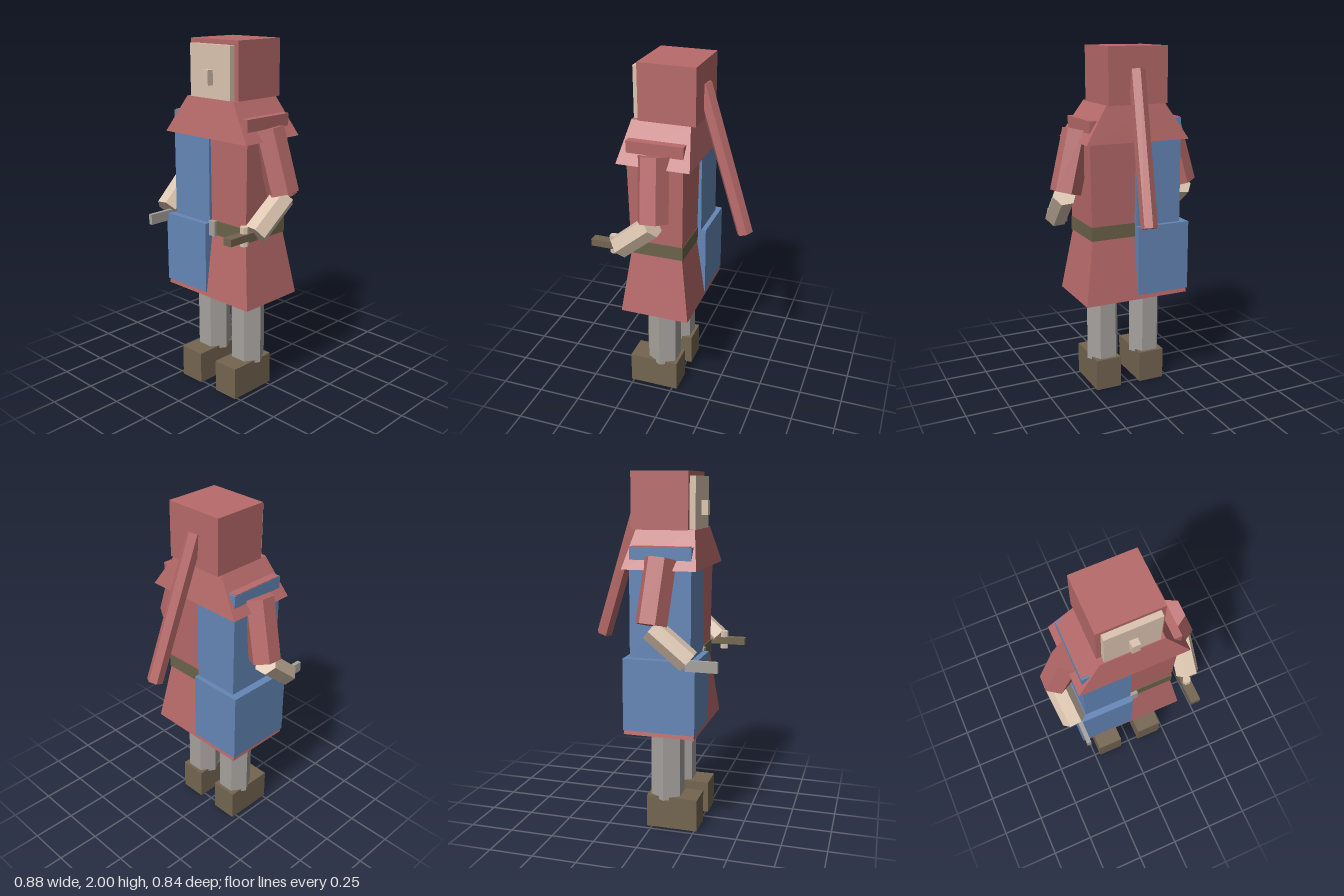
import * as THREE from 'three';

const mat = (name, color) => {
  const m = new THREE.MeshStandardMaterial({ color });
  m.name = name;
  return m;
};

export function createModel() {
  const red = mat('red cloth', 0xb86a6a);
  const blue = mat('blue cloth', 0x6587b8);
  const skin = mat('skin', 0xdcc5b0);
  const grey = mat('grey', 0xa6a29e);
  const brown = mat('brown leather', 0x746550);
  const olive = mat('belt leather', 0x6b6349);

  const model = new THREE.Group();
  model.name = 'hoodedFigure';

  const add = (name, geometry, material) => {
    const flat = geometry.toNonIndexed();
    flat.computeVertexNormals();
    const mesh = new THREE.Mesh(flat, material);
    mesh.name = name;
    model.add(mesh);
    return mesh;
  };

  // Box given by its limits on each axis
  const box = (name, material, [x0, x1], [y0, y1], [z0, z1]) =>
    add(name, new THREE.BoxGeometry(x1 - x0, y1 - y0, z1 - z0)
      .translate((x0 + x1) / 2, (y0 + y1) / 2, (z0 + z1) / 2), material);

  // Tapered box: bottom and top are [half width, back z, front z]
  const taper = (name, material, y0, y1, bottom, top) => {
    const g = new THREE.BoxGeometry(1, 1, 1);
    const p = g.attributes.position;
    for (let i = 0; i < p.count; i++) {
      const isTop = p.getY(i) > 0;
      const [half, back, front] = isTop ? top : bottom;
      p.setXYZ(i, Math.sign(p.getX(i)) * half, isTop ? y1 : y0, p.getZ(i) > 0 ? front : back);
    }
    return add(name, g, material);
  };

  // Six-sided rod between two points
  const rod = (name, material, r, from, to, turn = 0) => {
    const a = new THREE.Vector3(...from), b = new THREE.Vector3(...to);
    const mesh = add(name, new THREE.CylinderGeometry(r, r, a.distanceTo(b), 6, 1, false, turn), material);
    mesh.position.copy(a).lerp(b, 0.5);
    mesh.quaternion.setFromUnitVectors(new THREE.Vector3(0, 1, 0), a.sub(b).normalize());
    return mesh;
  };

  // Head and hood
  box('hood', red, [-0.177, 0.177], [1.69, 2], [-0.128, 0.193]);
  box('face', skin, [-0.15, 0.15], [1.69, 1.975], [0.18, 0.226]);
  box('nose', skin, [-0.022, 0.022], [1.765, 1.845], [0.22, 0.263]);
  rod('hoodTail', red, 0.046, [0.003, 1.872, -0.112], [0.056, 1.064, -0.378]);

  // Collar, tunic and skirt
  taper('collar', red, 1.487, 1.693, [0.31, -0.14, 0.272], [0.175, -0.1, 0.23]);
  taper('tunic', red, 0.94, 1.61, [0.258, -0.08, 0.22], [0.275, -0.095, 0.226]);
  taper('skirt', red, 0.575, 0.94, [0.316, -0.132, 0.27], [0.258, -0.08, 0.22]);

  // Belt and buckle
  box('belt', olive, [-0.263, 0.263], [0.94, 1.02], [-0.085, 0.227]);
  box('buckle', grey, [-0.004, 0.042], [0.935, 1.02], [0.2, 0.245]);

  // Half tabard on the right side
  box('upperTabard', blue, [-0.277, -0.001], [0.98, 1.606], [-0.105, 0.238]);
  box('lowerTabard', blue, [-0.322, -0.001], [0.6, 1.005], [-0.133, 0.273]);

  for (const [side, s] of [['left', 1], ['right', -1]]) {
    // Legs and boots
    rod(side + 'Leg', grey, 0.098, [s * 0.137, 0.6, 0.073], [s * 0.137, 0.17, 0.073], Math.PI / 6);
    box(side + 'Boot', brown, [s * 0.14 - 0.078, s * 0.14 + 0.078], [0, 0.187], [-0.03, 0.265]);
    // Arms
    rod(side + 'Sleeve', red, 0.088, [s * 0.275, 1.545, 0.07], [s * 0.365, 1.205, 0.045]);
    rod(side + 'Forearm', skin, 0.068, [s * 0.37, 1.19, 0.047], [s * 0.35, 1.02, 0.246], Math.PI / 6);
  }

  // Held items: a handle with a peg, and a short blade
  box('handle', brown, [0.291, 0.346], [0.99, 1.03], [0.22, 0.422]);
  rod('handlePeg', skin, 0.024, [0.319, 1.066, 0.295], [0.319, 0.96, 0.295], Math.PI / 6);
  box('blade', grey, [-0.334, -0.311], [0.96, 1.02], [0.22, 0.398]);

  return model;
}
